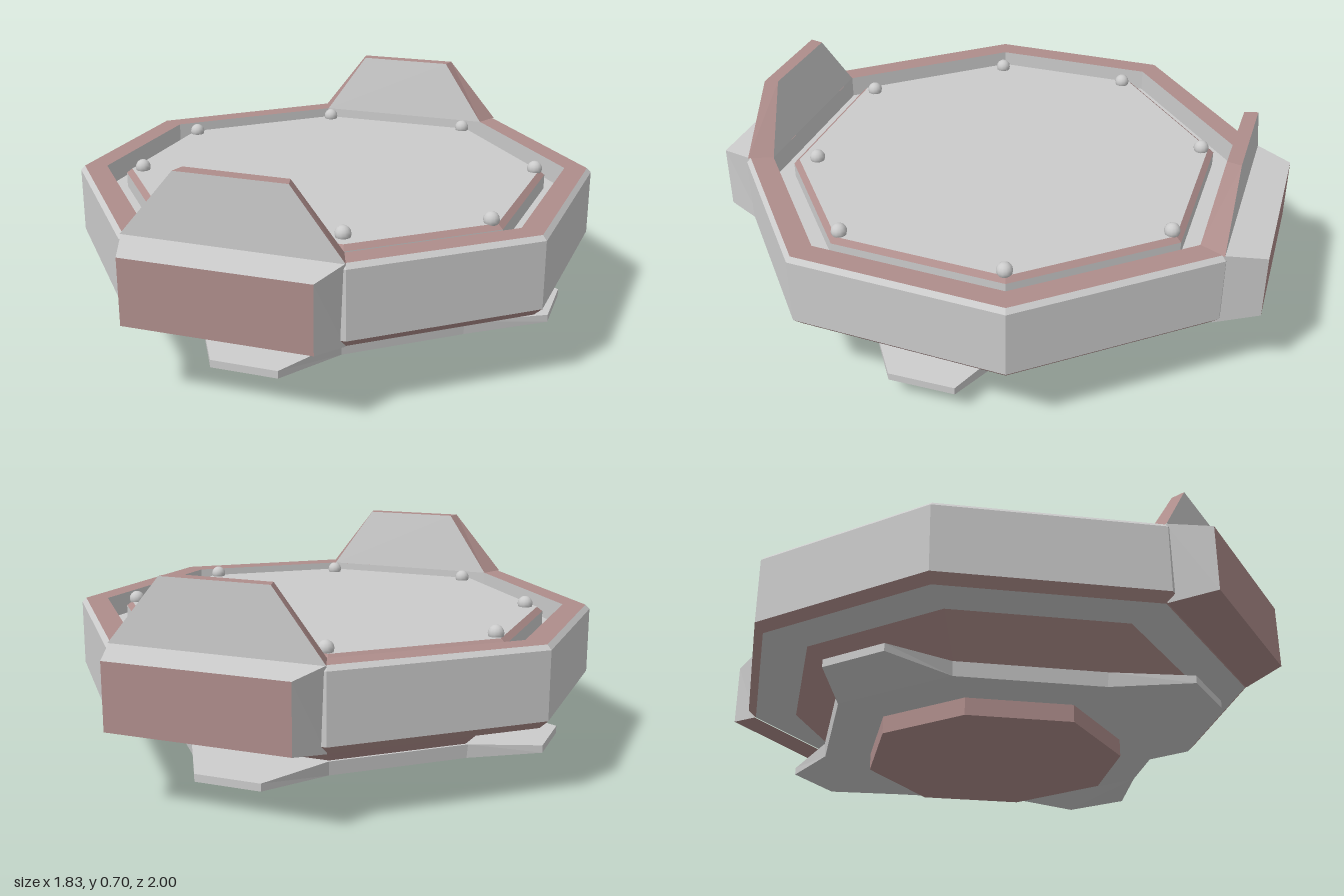
import * as THREE from 'three';

const grey = new THREE.MeshStandardMaterial({ color: 0xcccccc, flatShading: true });
const red = new THREE.MeshStandardMaterial({ color: 0xae8d8b, flatShading: true });
const rivetGrey = new THREE.MeshStandardMaterial({ color: 0xcccccc });

// Unit octagon (x, z), counter-clockwise seen from above, starting at the front
const OCT = [[0, 1], [0.705, 0.67], [1, 0.045], [0.705, -0.67], [0, -1], [-0.705, -0.67], [-1, 0.045], [-0.705, 0.67]];
const corner = (i, r, y) => new THREE.Vector3(OCT[i % 8][0] * r, y, OCT[i % 8][1] * r);

function meshFromTriangles(name, points, material) {
  const geometry = new THREE.BufferGeometry().setFromPoints(points);
  geometry.computeVertexNormals();
  const mesh = new THREE.Mesh(geometry, material);
  mesh.name = name;
  return mesh;
}

// Octagonal surface through a profile of [radius, height] points
function band(name, profile, material) {
  const points = [];
  for (let k = 0; k + 1 < profile.length; k++) {
    const [ra, ya] = profile[k], [rb, yb] = profile[k + 1];
    for (let i = 0; i < 8; i++) {
      const a = corner(i, ra, ya), b = corner(i + 1, ra, ya);
      const c = corner(i + 1, rb, yb), d = corner(i, rb, yb);
      if (ra > 0) points.push(a, b, c);
      if (rb > 0) points.push(a, c, d);
    }
  }
  return meshFromTriangles(name, points, material);
}

// Convex solid between two quads; materials: four sides, then the end cap
function solid(name, base, end, materials) {
  const group = new THREE.Group();
  group.name = name;
  const centre = new THREE.Vector3();
  [...base, ...end].forEach(p => centre.addScaledVector(p, 1 / 8));
  const faces = [0, 1, 2, 3].map(i => [base[i], base[(i + 1) % 4], end[(i + 1) % 4], end[i]]);
  faces.push(end);
  for (const material of [grey, red]) {
    const points = [];
    faces.forEach((f, i) => {
      if (materials[i] !== material) return;
      const normal = f[2].clone().sub(f[0]).cross(f[3].clone().sub(f[1]));
      const [a, b, c, d] = normal.dot(f[0].clone().sub(centre)) < 0 ? [...f].reverse() : f;
      points.push(a, b, c, a, c, d);
    });
    if (points.length) group.add(meshFromTriangles(name + (material === red ? 'Red' : 'Grey'), points, material));
  }
  return group;
}

export function createModel() {
  const model = new THREE.Group();
  model.name = 'octagonalPlatform';
  const v = (x, y, z) => new THREE.Vector3(x, y, z);

  model.add(
    // Foot, flange and neck
    band('foot', [[0, 0], [0.443, 0], [0.443, 0.06]], red),
    band('flange', [[0.43, 0.058], [0.61, 0.058], [0.615, 0.105], [0.5, 0.105]], grey),
    band('neck', [[0.605, 0.105], [0.735, 0.225]], red),
    // Main ring
    band('underside', [[0.72, 0.222], [0.885, 0.222]], grey),
    band('lowerBevel', [[0.885, 0.222], [0.915, 0.25]], red),
    band('outerWall', [[0.915, 0.25], [0.915, 0.47], [0.9, 0.485]], grey),
    band('rim', [[0.9, 0.485], [0.82, 0.485]], red),
    band('groove', [[0.82, 0.485], [0.82, 0.41], [0.75, 0.41], [0.75, 0.46]], grey),
    // Top plate
    band('plateBevel', [[0.75, 0.46], [0.73, 0.475]], red),
    band('plate', [[0.73, 0.475], [0, 0.475]], grey),
  );

  // Tapered spikes on every second side of the flange
  for (let k = 0; k < 4; k++) {
    const i = k * 2, turn = k * Math.PI / 2, up = v(0, 1, 0);
    const tip = (x, y, z) => v(x, y, z).applyAxisAngle(up, turn);
    model.add(solid('flangeSpike',
      [corner(i, 0.61, 0.058), corner(i + 1, 0.61, 0.058), corner(i + 1, 0.615, 0.105), corner(i, 0.615, 0.105)],
      [tip(0.22, 0.07, 0.765), tip(0.42, 0.07, 0.67), tip(0.42, 0.095, 0.67), tip(0.22, 0.095, 0.765)],
      [grey, grey, grey, grey, grey]));
  }

  // Armour block and upright fin on two opposite sides
  for (const [i, s] of [[0, 1], [4, -1]]) {
    const p = (x, y, z) => v(x * s, y, z * s);
    model.add(solid('armourBlock',
      [corner(i, 0.89, 0.222), corner(i + 1, 0.89, 0.222), corner(i + 1, 0.905, 0.485), corner(i, 0.905, 0.485)],
      [p(0.105, 0.25, 1), p(0.645, 0.25, 0.74), p(0.645, 0.465, 0.74), p(0.105, 0.465, 1)],
      [red, grey, grey, grey, red]));
    model.add(solid('fin',
      [corner(i, 0.91, 0.484), corner(i + 1, 0.91, 0.484), corner(i + 1, 0.82, 0.484), corner(i, 0.82, 0.484)],
      [p(0.165, 0.7, 0.832), p(0.49, 0.7, 0.68), p(0.46, 0.7, 0.645), p(0.155, 0.7, 0.785)],
      [grey, red, grey, red, red]));
  }

  // Rivets around the plate
  const rivet = new THREE.SphereGeometry(0.026, 12, 8);
  const spots = [[0, 0.685], [0.47, 0.445], [0.71, 0.04], [0.505, -0.475], [-0.005, -0.71], [-0.49, -0.475], [-0.7, 0.045], [-0.48, 0.467]];
  for (const [x, z] of spots) {
    const mesh = new THREE.Mesh(rivet, rivetGrey);
    mesh.name = 'rivet';
    mesh.position.set(x, 0.485, z);
    model.add(mesh);
  }
  return model;
}
